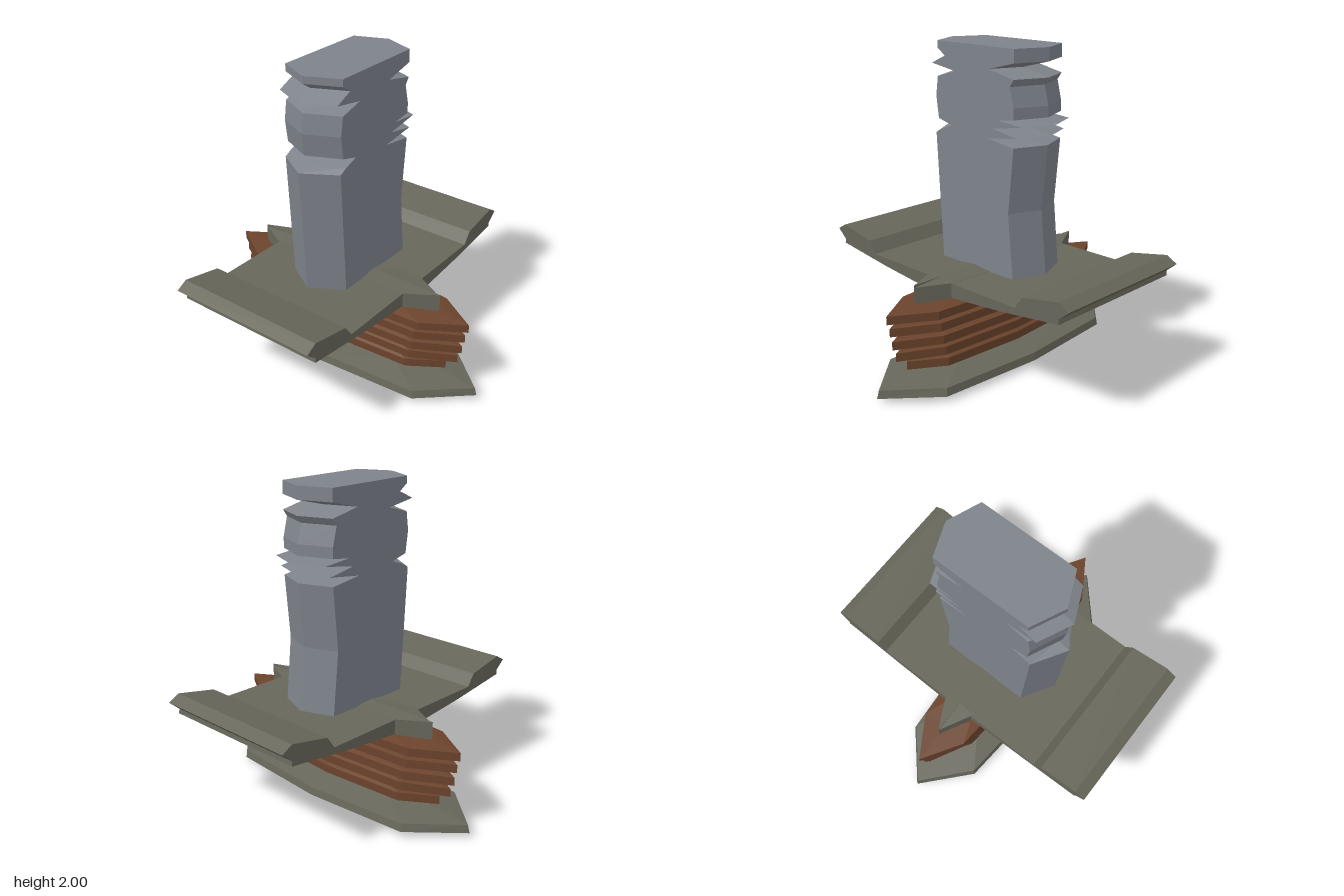
import * as THREE from 'three';

const steel = new THREE.MeshStandardMaterial({ color: 0x7e838b, flatShading: true });
const bronze = new THREE.MeshStandardMaterial({ color: 0x66665a, flatShading: true });
const leather = new THREE.MeshStandardMaterial({ color: 0x6b432c, flatShading: true });

// Skin a stack of equal-length rings (bottom to top) and close both ends
function loft(rings) {
  const pos = [];
  const tri = (...pts) => pts.forEach((p) => pos.push(...p));
  const middle = (ring) => [0, 1, 2].map((k) => ring.reduce((s, p) => s + p[k], 0) / ring.length);
  const n = rings[0].length;
  const low = rings[0], high = rings[rings.length - 1];
  for (let i = 0; i < n; i++) {
    const j = (i + 1) % n;
    for (let r = 0; r + 1 < rings.length; r++) {
      const a = rings[r], b = rings[r + 1];
      tri(a[i], a[j], b[j]);
      tri(a[i], b[j], b[i]);
    }
    tri(middle(low), low[j], low[i]);
    tri(middle(high), high[i], high[j]);
  }
  const geo = new THREE.BufferGeometry();
  geo.setAttribute('position', new THREE.Float32BufferAttribute(pos, 3));
  geo.computeVertexNormals();
  return geo;
}

// Long pointed octagon: tips at z = ±tip, shoulders at (±sx, ±sz), waist at x = ±w
function octagon(y, w, sx, sz, tip) {
  return [[0, tip], [sx, sz], [w, 0], [sx, -sz], [0, -tip], [-sx, -sz], [-w, 0], [-sx, sz]]
    .map(([x, z]) => [x, y, z]);
}

// x on a jagged edge at height y
function edgeAt(edge, y) {
  for (let i = 0; i + 1 < edge.length; i++) {
    const [x0, y0] = edge[i], [x1, y1] = edge[i + 1];
    if (y <= y1) return x0 + ((x1 - x0) * Math.max(0, y - y0)) / (y1 - y0);
  }
  return edge[edge.length - 1][0];
}

function bladeGeometry() {
  const left = [[-0.405, 0.6], [-0.457, 1.437], [-0.285, 1.497], [-0.402, 1.528], [-0.422, 1.667],
    [-0.405, 1.786], [-0.25, 1.829], [-0.455, 1.861], [-0.34, 1.914], [-0.402, 1.955], [-0.402, 2]];
  const right = [[0.405, 0.6], [0.363, 1.037], [0.402, 1.437], [0.187, 1.465], [0.428, 1.497],
    [0.235, 1.529], [0.466, 1.567], [0.27, 1.583], [0.402, 1.6], [0.402, 1.667], [0.372, 1.786],
    [0.402, 1.829], [0.203, 1.87], [0.402, 1.92], [0.402, 2]];
  const heights = [...new Set([...left, ...right].map((p) => p[1]))].sort((a, b) => a - b);
  const t = 0.205;
  return loft(heights.map((y) => {
    const l = edgeAt(left, y), r = edgeAt(right, y);
    const li = l + (y < 1.45 ? 0.125 : 0.095), ri = r - 0.08;
    return [[ri, y, t], [r, y, 0], [ri, y, -t], [li, y, -t], [l, y, 0], [li, y, t]];
  }));
}

function guardGeometry() {
  const half = [[0, 0.54], [0.13, 0.547], [0.51, 0.583], [0.935, 0.637], [0.93, 0.665], [1, 0.725],
    [0.93, 0.765], [0.67, 0.714], [0.615, 0.637]];
  const mirrored = half.slice(1).reverse().map(([x, y]) => [-x, y]);
  const shape = new THREE.Shape([...half, ...mirrored].map(([x, y]) => new THREE.Vector2(x, y)));
  return new THREE.ExtrudeGeometry(shape, { depth: 1, bevelEnabled: false }).translate(0, 0, -0.5);
}

// Five flared wraps with grooves between them
function gripGeometry() {
  const wraps = [[0.163, 0.18, 0.77], [0.243, 0.183, 0.85], [0.325, 0.194, 0.875],
    [0.413, 0.2, 0.89], [0.496, 0.21, 0.91]];
  const rings = [octagon(0.11, 0.135, 0.1, 0.45, 0.52)];
  wraps.forEach(([y, w, tip], i) => {
    const shoulder = 0.56 + 0.023 * i;
    rings.push(octagon(y - 0.026, w, w * 0.77, shoulder, tip));
    rings.push(octagon(y + 0.026, w, w * 0.77, shoulder, tip));
    rings.push(octagon(y + 0.045, 0.14 + 0.006 * i, 0.11, 0.46 + 0.015 * i, 0.55 + 0.02 * i));
  });
  return loft(rings);
}

export function createModel() {
  const group = new THREE.Group();
  const add = (name, geo, mat) => {
    const mesh = new THREE.Mesh(geo, mat);
    mesh.name = name;
    group.add(mesh);
  };

  add('brokenBlade', bladeGeometry(), steel);
  add('crossGuard', guardGeometry(), bronze);

  // Ridged diamond block through the middle of the guard
  add('guardCollar', loft([
    octagon(0.538, 0.14, 0.115, 0.48, 0.7),
    octagon(0.638, 0.14, 0.115, 0.48, 0.7),
    octagon(0.651, 0.001, 0.001, 0.48, 0.7),
  ]), bronze);

  add('grip', gripGeometry(), leather);

  add('pommel', loft([
    octagon(0, 0.11, 0.09, 0.25, 0.37),
    octagon(0.035, 0.325, 0.27, 0.7, 1),
    octagon(0.083, 0.315, 0.26, 0.69, 0.985),
    octagon(0.12, 0.13, 0.11, 0.46, 0.55),
  ]), bronze);

  return group;
}
